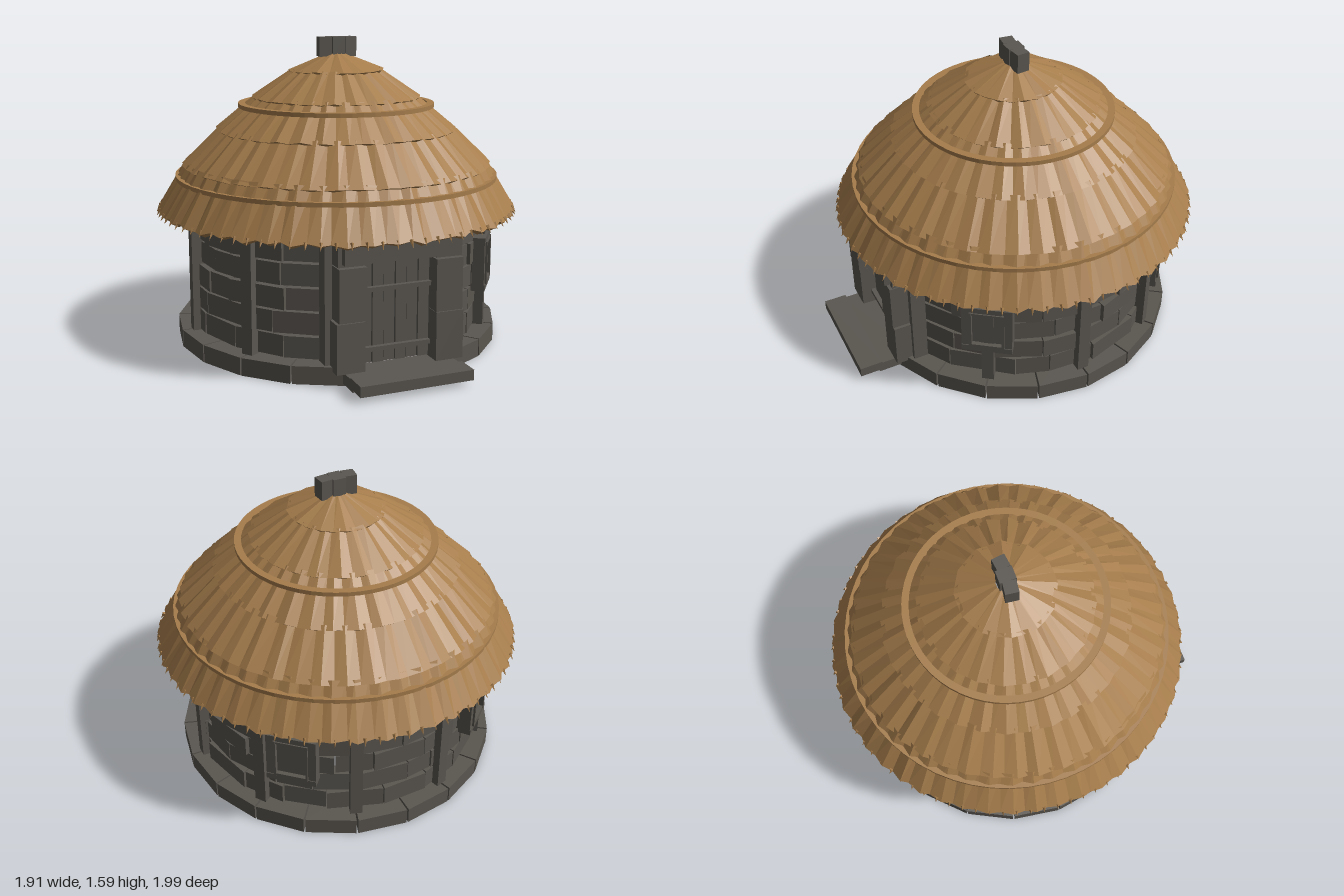
import * as THREE from 'three';

const stone = new THREE.MeshStandardMaterial({ color: 0x5a5650, flatShading: true });
stone.name = 'weathered grey';
const thatch = new THREE.MeshStandardMaterial({ color: 0xa67d4c, flatShading: true, side: THREE.DoubleSide });
thatch.name = 'straw';

// small seeded generator for uneven stones and straw
let seed = 7;
const rnd = () => (seed = (seed * 16807) % 2147483647) / 2147483647;
const DEG = Math.PI / 180;

function add(parent, name, geo, mat) {
  const m = new THREE.Mesh(geo, mat);
  m.name = name;
  parent.add(m);
  return m;
}

// box given by its limits
function box(parent, name, x0, x1, y0, y1, z0, z1) {
  const m = add(parent, name, new THREE.BoxGeometry(x1 - x0, y1 - y0, z1 - z0), stone);
  m.position.set((x0 + x1) / 2, (y0 + y1) / 2, (z0 + z1) / 2);
  return m;
}

// block set around the hut: angle from the front (degrees), radii, heights, outer width
function ringBlock(parent, name, angle, r0, r1, y0, y1, width, wedge = true) {
  const geo = new THREE.BoxGeometry(width, y1 - y0, r1 - r0);
  const p = geo.attributes.position;
  if (wedge) for (let i = 0; i < p.count; i++) if (p.getZ(i) < 0) p.setX(i, p.getX(i) * r0 / r1);
  geo.translate(0, (y0 + y1) / 2, (r0 + r1) / 2);
  add(parent, name, geo, stone).rotation.y = angle * DEG;
}

// one tier of folded straw strips, from the lower edge (r0, y0) to the upper edge (r1, y1)
function thatchTier(parent, name, n, r0, y0, r1, y1, ragged) {
  const len = Math.hypot(r0 - r1, y1 - y0);
  const nr = (y1 - y0) / len, ny = (r0 - r1) / len;
  const pos = [];
  const quad = (a, b, c, d) => pos.push(...a, ...b, ...c, ...a, ...c, ...d);
  const pt = (t, r, y, lift) => [(r + nr * lift) * Math.sin(t), y + ny * lift, (r + nr * lift) * Math.cos(t)];

  // every second fold stands proud
  const folds = [];
  for (let i = 0; i < n; i++) {
    const t = (i + (rnd() - 0.5) * 0.35) / n * Math.PI * 2;
    const lift = (i % 2 ? 0.009 : -0.005) + (rnd() - 0.5) * 0.008;
    const y = y0 + (i % 2 ? -ragged : ragged) * rnd();
    folds.push({ low: pt(t, r0, y, lift), high: pt(t, r1, y1, lift * r1 / r0 - 0.004), inner: pt(t, r0 - 0.006, y, -0.022) });
  }
  folds.forEach((a, i) => {
    const b = folds[(i + 1) % n];
    quad(a.low, b.low, b.high, a.high);
    quad(a.inner, b.inner, b.low, a.low);
  });
  const geo = new THREE.BufferGeometry();
  geo.setAttribute('position', new THREE.Float32BufferAttribute(pos, 3));
  geo.computeVertexNormals();
  add(parent, name, geo, thatch);
}

function buildRoof() {
  const roof = new THREE.Group();
  roof.name = 'thatchedRoof';
  const tiers = [
    [96, 0.945, 0.7, 0.795, 0.95],
    [84, 0.812, 0.93, 0.612, 1.13],
    [68, 0.632, 1.113, 0.42, 1.293],
    [48, 0.44, 1.278, 0.23, 1.427],
    [24, 0.248, 1.416, 0.05, 1.507],
  ];
  tiers.forEach(([n, r0, y0, r1, y1], i) => thatchTier(roof, 'thatchTier' + (i + 1), n, r0, y0, r1, y1, i ? 0.005 : 0.016));

  // binding hoops
  for (const [r, y] of [[0.502, 1.24], [0.838, 0.872]]) {
    const hoop = new THREE.LatheGeometry([[-0.02, -0.012], [0.016, -0.012], [0.016, 0.01], [-0.02, 0.01]]
      .map(([a, b]) => new THREE.Vector2(r + a, y + b)), 56);
    add(roof, 'bindingHoop', hoop, thatch);
  }

  // straw tips along the eave
  const tip = new THREE.ConeGeometry(0.01, 0.04, 4);
  for (let i = 0; i < 84; i++) {
    const t = i / 84 * Math.PI * 2;
    const m = add(roof, 'strawTip', tip, thatch);
    m.position.set(Math.sin(t) * 0.947, 0.697, Math.cos(t) * 0.947);
    m.rotation.set(Math.PI - 0.55, t, 0, 'YXZ');
  }

  // ridge cap of three blocks
  box(roof, 'ridgeCap', -0.034, 0.034, 1.49, 1.592, -0.042, 0.042);
  for (const s of [-1, 1]) {
    const side = box(roof, 'ridgeCapEnd', -0.033, 0.033, 1.49, 1.592, -0.034, 0.034);
    side.position.x = s * 0.066;
    side.rotation.y = s * 0.12;
  }
  return roof;
}

function buildWalls() {
  const walls = new THREE.Group();
  walls.name = 'walls';

  // foundation ring, open at the doorway
  for (let i = 1; i < 19; i++) ringBlock(walls, 'foundationBlock', i * 18 + 9, 0.63, 0.85, 0, 0.09, 0.26);

  // six staggered courses of uneven blocks, the last one under the thatch
  const start = 24, span = 360 - 2 * start;
  for (let row = 0; row < 6; row++) {
    const y = 0.097 + row * 0.12, n = 17 + row % 2;
    const cuts = [0];
    for (let i = 1; i < n; i++) cuts.push((i + (rnd() - 0.5) * 0.45) / n);
    cuts.push(1);
    for (let i = 0; i < n; i++) {
      const a0 = start + cuts[i] * span, a1 = start + cuts[i + 1] * span;
      const half = (a1 - a0) / 2 * DEG, r = 0.755 + rnd() * 0.018;
      ringBlock(walls, 'wallBlock', (a0 + a1) / 2, r - 0.06, r, y, y + 0.108, 2 * r * Math.tan(half) - 0.006);
    }
  }

  // upright posts
  for (let i = 1; i < 9; i++) ringBlock(walls, 'wallPost', 18 + i * 36, 0.74, 0.808, 0.09, 0.8, 0.062, false);
  return walls;
}

function buildDoorway() {
  const door = new THREE.Group();
  door.name = 'doorway';
  for (const s of [-1, 1]) {
    // stacked jamb blocks and slim side posts
    [[0.07, 0.315, 0.185, 0.33, 0.845], [0.32, 0.58, 0.18, 0.32, 0.85], [0.585, 0.7, 0.185, 0.32, 0.835]].forEach(([y0, y1, a, b, z]) =>
      box(door, 'jambBlock', Math.min(s * a, s * b), Math.max(s * a, s * b), y0, y1, 0.69, z));
    const x = s * 0.338;
    box(door, 'sidePost', x - 0.018, x + 0.018, 0.07, 0.8, 0.68, 0.757);
  }
  box(door, 'lintel', -0.3, 0.3, 0.6, 0.695, 0.7, 0.868);
  box(door, 'wallOverDoor', -0.32, 0.32, 0.7, 0.8, 0.69, 0.75);

  // planked door with two rails
  for (let i = 0; i < 6; i++) {
    const x = -0.18 + i * 0.06;
    box(door, 'doorPlank', x + 0.002, x + 0.058, 0.08, 0.6, 0.735, 0.765 + (i % 2) * 0.006);
  }
  for (const y of [0.155, 0.45]) box(door, 'doorRail', -0.178, 0.178, y - 0.011, y + 0.011, 0.77, 0.795);

  box(door, 'threshold', -0.285, 0.285, 0.012, 0.068, 0.74, 0.93);
  box(door, 'step', -0.29, 0.29, 0.028, 0.08, 0.915, 1.035);
  return door;
}

function buildWindow(angle) {
  const win = new THREE.Group();
  win.name = 'window';
  box(win, 'windowBacking', -0.1, 0.1, 0.32, 0.56, 0.73, 0.805);
  for (const s of [-1, 1]) {
    box(win, 'windowJamb', s * 0.108 - 0.02, s * 0.108 + 0.02, 0.305, 0.58, 0.74, 0.82);
    box(win, 'shutterStile', s * 0.082 - 0.006, s * 0.082 + 0.006, 0.33, 0.555, 0.78, 0.83);
  }
  box(win, 'windowSill', -0.128, 0.128, 0.3, 0.333, 0.74, 0.824);
  box(win, 'windowHead', -0.128, 0.128, 0.552, 0.582, 0.74, 0.822);
  for (const y of [0.333, 0.54]) box(win, 'shutterRail', -0.08, 0.08, y, y + 0.012, 0.78, 0.828);
  win.rotation.y = angle * DEG;
  return win;
}

export function createModel() {
  const hut = new THREE.Group();
  hut.name = 'roundHut';
  hut.add(buildWalls(), buildDoorway(), buildRoof());
  for (const angle of [54, 139, 221]) hut.add(buildWindow(angle));
  hut.position.z = -0.035;
  const model = new THREE.Group();
  model.name = 'hutModel';
  model.add(hut);
  return model;
}
